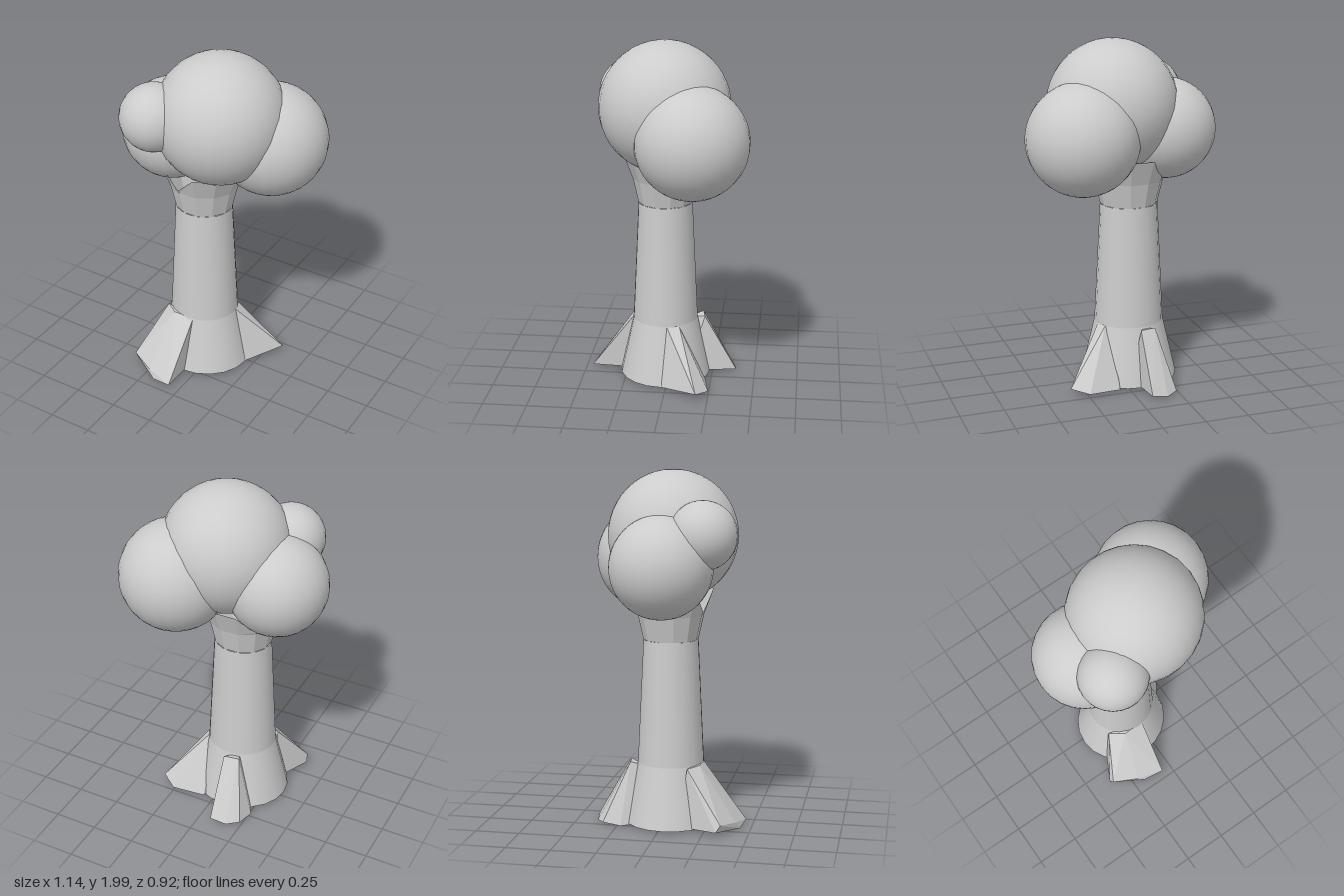
import * as THREE from 'three';
import { ConvexGeometry } from 'three/addons/geometries/ConvexGeometry.js';

export function createModel() {
  const tree = new THREE.Group();
  tree.name = 'tree';
  const grey = new THREE.MeshStandardMaterial({ color: 0xcccccc });
  grey.name = 'lightGrey';
  grey.side = THREE.DoubleSide;
  const facet = grey.clone();
  facet.flatShading = true;

  const add = (name, geometry, material = grey) => {
    const mesh = new THREE.Mesh(geometry, material);
    mesh.name = name;
    tree.add(mesh);
    return mesh;
  };

  // Foliage: four overlapping balls [name, radius, x, y, z]
  for (const [name, r, x, y, z] of [
    ['mainFoliage', 0.368, 0.025, 1.632, 0.02],
    ['backFoliage', 0.316, 0.25, 1.486, -0.15],
    ['sideFoliage', 0.286, -0.285, 1.481, 0.01],
    ['smallFoliage', 0.19, -0.26, 1.655, 0.235],
  ]) add(name, new THREE.SphereGeometry(r, 26, 24)).position.set(x, y, z);

  // Trunk: flared foot and tapering shaft, slightly narrower in depth
  const cx = -0.075, cz = 0.027;
  const shaft = (name, r0, y0, r1, y1, capped) => {
    const profile = [new THREE.Vector2(r0, y0), new THREE.Vector2(r1, y1)];
    const m = add(name, new THREE.LatheGeometry(profile, 20));
    m.position.set(cx, 0, cz);
    m.scale.z = 0.94;
    if (capped) {
      const base = add('trunkBase', new THREE.CircleGeometry(r0, 20).rotateX(Math.PI / 2));
      base.position.set(cx, y0, cz);
      base.scale.z = 0.94;
    }
  };
  shaft('trunkFoot', 0.28, 0.02, 0.2, 0.36, true);
  shaft('trunkShaft', 0.2, 0.36, 0.165, 1.06, false);

  // Crown of the trunk: opens into forked stubs with uneven tips
  const sides = 12;
  const fork = new THREE.CylinderGeometry(1, 1, 1, sides, 2, true, -0.25);
  const p = fork.attributes.position;
  const radii = [0.255, 0.198, 0.165];
  const heights = [1.34, 1.2, 1.06];
  for (let i = 0; i < p.count; i++) {
    const row = Math.floor(i / (sides + 1));
    const notch = row === 0 && (i % (sides + 1)) % 4 === 0;
    const r = notch ? 0.21 : radii[row];
    p.setXYZ(i, p.getX(i) * r, notch ? 1.22 : heights[row], p.getZ(i) * r * 0.94);
  }
  add('trunkFork', fork, facet).position.set(cx, 0, cz);

  // Buttress roots: wedges spreading from the trunk to the ground
  const root = (name, points) =>
    add(name, new ConvexGeometry(points.map((q) => new THREE.Vector3(...q))), facet);
  root('frontRoot', [
    [-0.25, 0.355, 0.15], [-0.17, 0.36, 0.21], [-0.045, 0.365, 0.205],
    [-0.36, 0.075, 0.355], [-0.22, 0.055, 0.42], [-0.06, 0.03, 0.46],
    [-0.37, 0.035, 0.33], [-0.18, 0.012, 0.44], [-0.06, 0.02, 0.15], [-0.25, 0.02, 0.1],
  ]);
  root('backRoot', [
    [-0.16, 0.36, -0.19], [-0.07, 0.36, -0.205], [-0.24, 0.02, -0.335],
    [-0.17, 0.012, -0.38], [-0.075, 0.03, -0.392], [-0.26, 0.01, -0.23],
    [-0.05, 0.02, -0.1], [-0.18, 0.02, -0.05], [-0.13, 0.33, -0.1],
  ]);
  root('sideRoot', [
    [0.12, 0.36, 0], [0.1, 0.36, -0.07], [0.15, 0.27, -0.06],
    [0.345, 0.05, -0.185], [0.2, 0.02, 0.03], [0.25, 0.03, -0.25],
    [0.06, 0.02, -0.22], [0, 0.02, 0], [0.05, 0.3, -0.05],
  ]);

  // Ground contact: the lowest point rests at zero
  const box = new THREE.Box3().setFromObject(tree);
  tree.children.forEach((m) => { m.position.y -= box.min.y; });
  return tree;
}
